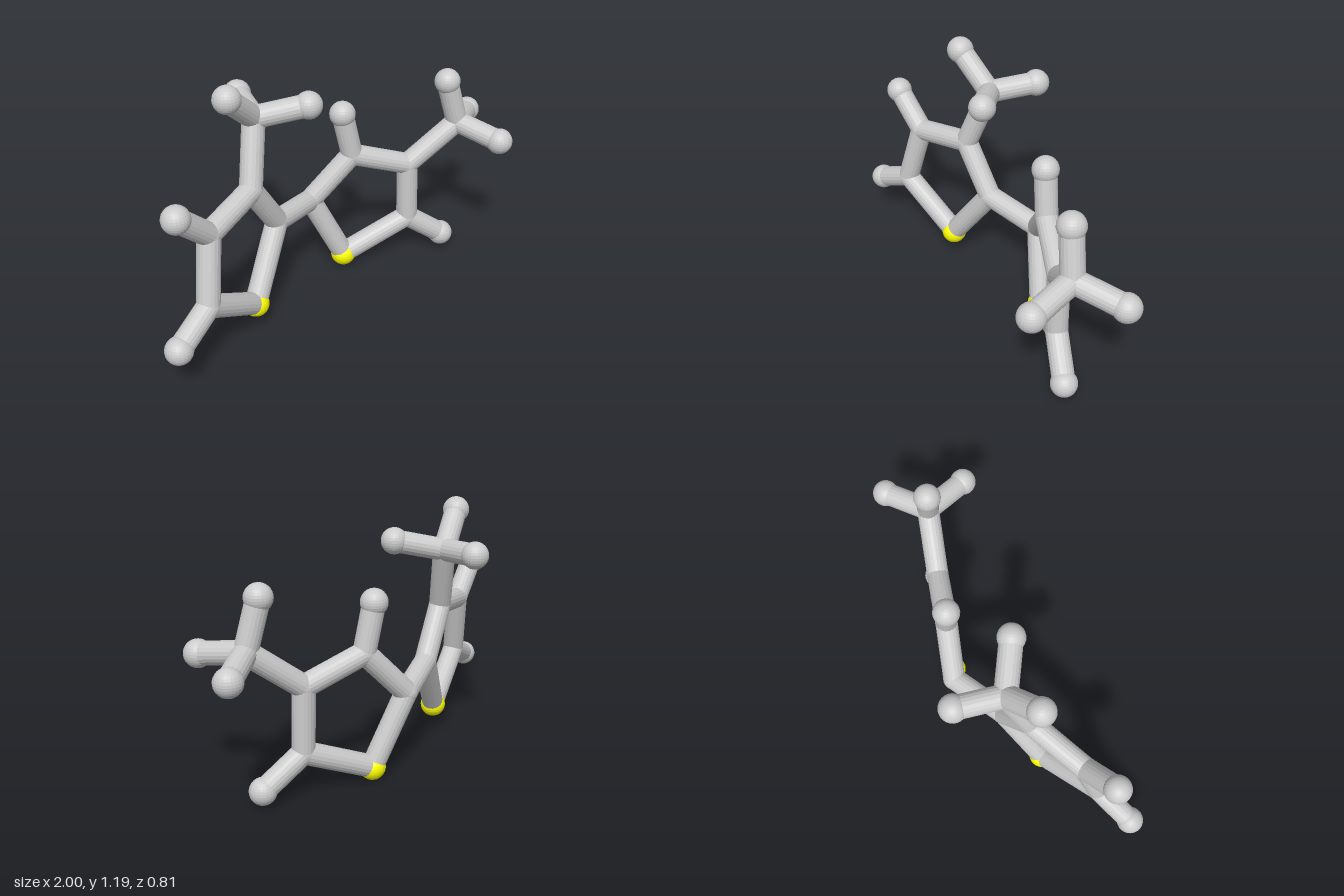
import * as THREE from 'three';

const BOND_R = 0.052, JOINT_R = 0.053, BALL_R = 0.062;

// Atom centres: ring corners, methyl centres and outer balls
const atoms = {
  // left ring
  sulfurL: [-0.435, 0.13, 0.01],
  innerL: [-0.23, 0.445, -0.085],
  upperL: [-0.39, 0.685, -0.052],
  outerL: [-0.68, 0.63, 0.045],
  lowerL: [-0.745, 0.325, 0.103],
  methylL: [-0.303, 0.98, -0.13],
  ballL1: [-0.845, 0.785, 0.075],
  ballL2: [-0.938, 0.23, 0.163],
  ballL3: [-0.472, 1.134, -0.076],
  ballL4: [-0.118, 1.034, 0.018],
  ballL5: [-0.235, 0.998, -0.342],
  // right ring
  sulfurR: [0.2, 0.064, -0.107],
  innerR: [0.05, 0.4, -0.183],
  upperR: [0.24, 0.62, -0.097],
  outerR: [0.507, 0.52, 0.015],
  lowerR: [0.515, 0.215, 0.02],
  methylR: [0.735, 0.715, 0.115],
  ballR1: [0.193, 0.842, -0.115],
  ballR2: [0.692, 0.077, 0.095],
  ballR3: [0.675, 0.937, 0.09],
  ballR4: [0.938, 0.676, 0.0],
  ballR5: [0.79, 0.677, 0.342],
};

const bonds = [
  ['innerL', 'innerR'],
  // left ring, then its branches
  ['sulfurL', 'innerL'], ['innerL', 'upperL'], ['upperL', 'outerL'], ['outerL', 'lowerL'], ['lowerL', 'sulfurL'],
  ['upperL', 'methylL'], ['outerL', 'ballL1'], ['lowerL', 'ballL2'],
  ['methylL', 'ballL3'], ['methylL', 'ballL4'], ['methylL', 'ballL5'],
  // right ring, then its branches
  ['sulfurR', 'innerR'], ['innerR', 'upperR'], ['upperR', 'outerR'], ['outerR', 'lowerR'], ['lowerR', 'sulfurR'],
  ['outerR', 'methylR'], ['upperR', 'ballR1'], ['lowerR', 'ballR2'],
  ['methylR', 'ballR3'], ['methylR', 'ballR4'], ['methylR', 'ballR5'],
];

export function createModel() {
  const model = new THREE.Group();
  model.name = 'moleculeModel';
  const grey = new THREE.MeshStandardMaterial({ color: 0xcccccc, flatShading: true });
  const yellow = new THREE.MeshStandardMaterial({ color: 0xffff00, flatShading: true });
  const ballGeo = new THREE.SphereGeometry(BALL_R, 24, 16);
  const jointGeo = new THREE.SphereGeometry(JOINT_R, 24, 16);
  const bondGeo = new THREE.CylinderGeometry(BOND_R, BOND_R, 1, 20);
  const up = new THREE.Vector3(0, 1, 0);

  // Spheres: yellow sulfur atoms, large end balls, small joints
  for (const [name, position] of Object.entries(atoms)) {
    const isSulfur = name.startsWith('sulfur');
    const isBall = isSulfur || name.startsWith('ball');
    const atom = new THREE.Mesh(isBall ? ballGeo : jointGeo, isSulfur ? yellow : grey);
    atom.name = isBall ? name : name + 'Joint';
    atom.position.set(...position);
    model.add(atom);
  }

  // Rods between the sphere centres
  for (const [from, to] of bonds) {
    const a = new THREE.Vector3(...atoms[from]);
    const b = new THREE.Vector3(...atoms[to]);
    const rod = new THREE.Mesh(bondGeo, grey);
    rod.name = `rod ${from} to ${to}`;
    rod.position.copy(a).lerp(b, 0.5);
    rod.scale.y = a.distanceTo(b);
    rod.quaternion.setFromUnitVectors(up, b.sub(a).normalize());
    model.add(rod);
  }
  return model;
}
